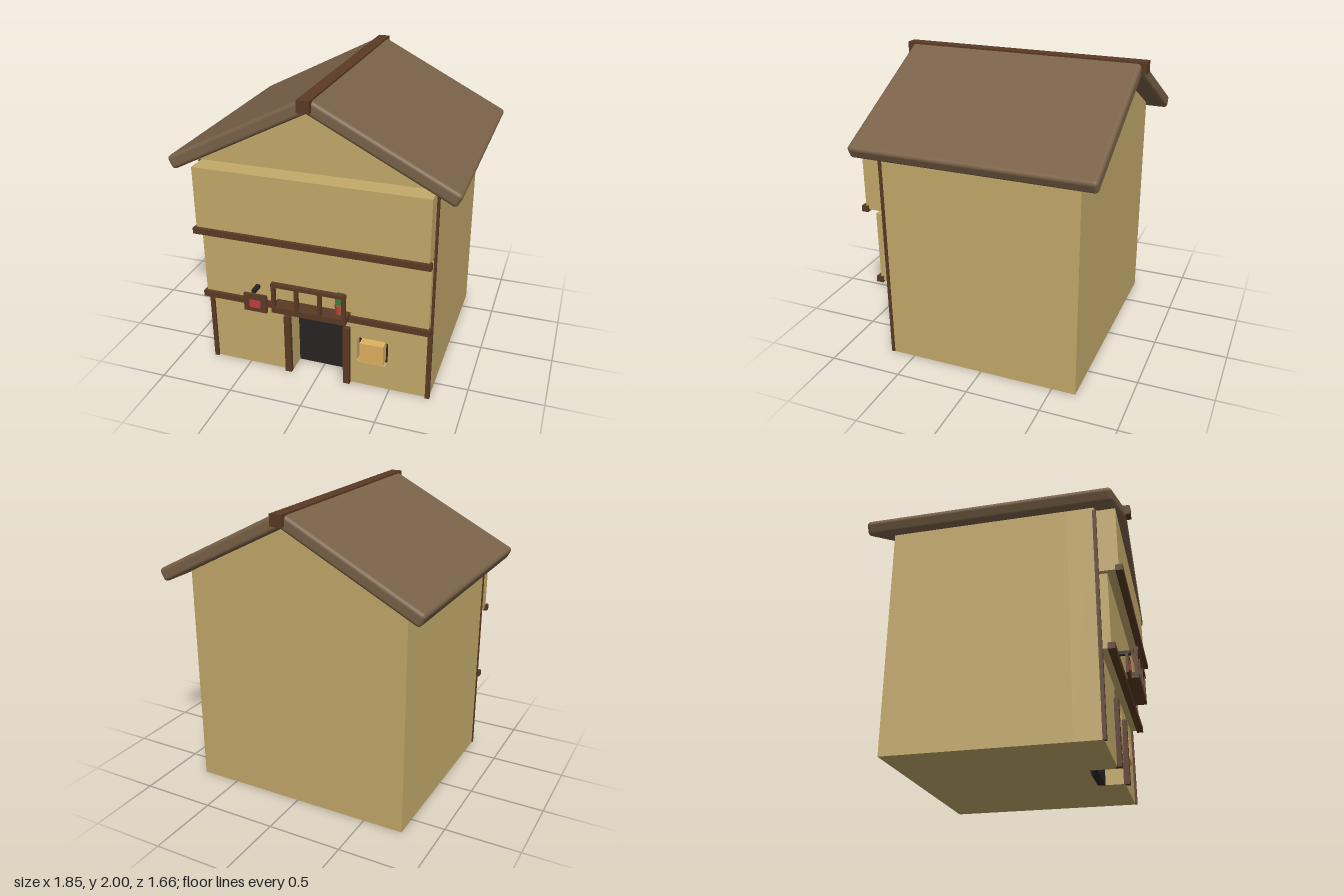
import * as THREE from 'three';
import { RoundedBoxGeometry } from 'three/addons/geometries/RoundedBoxGeometry.js';

const mat = (color) => new THREE.MeshStandardMaterial({ color });

export function createModel() {
  const house = new THREE.Group();
  house.name = 'house';
  const plaster = mat(0xc4aa6b), timber = mat(0x5a3a24), roofing = mat(0x7a6248);
  const dark = mat(0x2a2424), glow = mat(0xe0b060), red = mat(0xc04040);
  const clay = mat(0xb5533a), leaf = mat(0x3a8040);

  const add = (name, geometry, material) => {
    const mesh = new THREE.Mesh(geometry, material);
    mesh.name = name;
    house.add(mesh);
    return mesh;
  };
  // Box given by its extents along each axis
  const box = (name, material, [x0, x1], [y0, y1], [z0, z1]) => {
    const mesh = add(name, new THREE.BoxGeometry(x1 - x0, y1 - y0, z1 - z0), material);
    mesh.position.set((x0 + x1) / 2, (y0 + y1) / 2, (z0 + z1) / 2);
    return mesh;
  };
  const slab = (name, shape, z0, z1) => {
    const geometry = new THREE.ExtrudeGeometry(shape, { depth: z1 - z0, bevelEnabled: false, curveSegments: 10 });
    add(name, geometry, plaster).position.z = z0;
  };
  const points = (list) => list.map(([x, y]) => new THREE.Vector2(x, y));

  // Gabled body, with a front wall that holds the door and window openings
  const gable = points([[-0.77, 0], [0.77, 0], [0.77, 1.51], [0, 1.91], [-0.77, 1.51]]);
  slab('body', new THREE.Shape(gable), -0.66, 0.49);

  const front = new THREE.Shape(points([
    [-0.77, 0], [-0.185, 0], [-0.185, 0.44],
  ]));
  front.absarc(0, 0.44, 0.185, Math.PI, 0, true);
  for (const [x, y] of [[0.185, 0], [0.77, 0], [0.77, 1.51], [0, 1.91], [-0.77, 1.51]]) front.lineTo(x, y);
  front.holes.push(new THREE.Path(points([
    [0.275, 0.19], [0.275, 0.355], [0.29, 0.37], [0.47, 0.37],
    [0.485, 0.355], [0.485, 0.19], [0.47, 0.175], [0.29, 0.175],
  ])));
  slab('frontWall', front, 0.49, 0.66);

  // Recessed door and window
  box('door', dark, [-0.185, 0.185], [0, 0.62], [0.48, 0.53]);
  box('windowRecess', dark, [0.27, 0.49], [0.17, 0.375], [0.48, 0.61]);
  box('windowPane', glow, [0.3, 0.46], [0.2, 0.345], [0.6, 0.688]);

  // Overhanging upper storeys and their beams
  box('middleStorey', plaster, [-0.76, 0.76], [0.545, 1.035], [0.655, 0.725]);
  box('upperStorey', plaster, [-0.76, 0.76], [1.055, 1.49], [0.655, 0.795]);
  box('lowerBeam', timber, [-0.775, 0.775], [0.535, 0.575], [0.705, 0.75]);
  box('upperBeam', timber, [-0.775, 0.775], [1.04, 1.08], [0.775, 0.82]);

  // Corner posts, door posts and roof slopes on both sides
  const slope = Math.atan(0.513), length = 1.025;
  for (const side of [-1, 1]) {
    const post = box('cornerPost', timber, [0.745, 0.775], [0, 1.49], [0.652, 0.675]);
    post.position.x *= side;
    const doorPost = box('doorPost', timber, [0.185, 0.23], [0, 0.44], [0.65, 0.69]);
    doorPost.position.x *= side;

    const roof = add('roofSlope', new RoundedBoxGeometry(length, 0.092, 1.59, 3, 0.025), roofing);
    roof.position.set(side * Math.cos(slope) * length / 2, 1.958 - Math.sin(slope) * length / 2, 0);
    roof.rotation.z = -side * slope;
  }
  box('ridgeBeam', timber, [-0.04, 0.04], [1.925, 2], [-0.83, 0.83]);

  // Balcony
  box('balconyFloor', timber, [-0.25, 0.25], [0.558, 0.598], [0.71, 0.83]);
  box('balconyRail', timber, [-0.25, 0.25], [0.75, 0.772], [0.8, 0.835]);
  for (const x of [-0.236, -0.08, 0.076, 0.236]) {
    box('baluster', timber, [x - 0.012, x + 0.012], [0.59, 0.755], [0.805, 0.83]);
  }

  // Potted plant
  add('flowerPot', new THREE.CylinderGeometry(0.033, 0.028, 0.065, 10), clay).position.set(0.188, 0.628, 0.753);
  box('plant', leaf, [0.163, 0.215], [0.66, 0.73], [0.727, 0.773]);

  // Hanging sign
  box('signBoard', timber, [-0.462, -0.302], [0.513, 0.64], [0.772, 0.79]);
  box('signPanel', red, [-0.42, -0.345], [0.545, 0.6], [0.785, 0.795]);
  box('signBracket', dark, [-0.397, -0.37], [0.66, 0.683], [0.72, 0.8]);

  return house;
}
